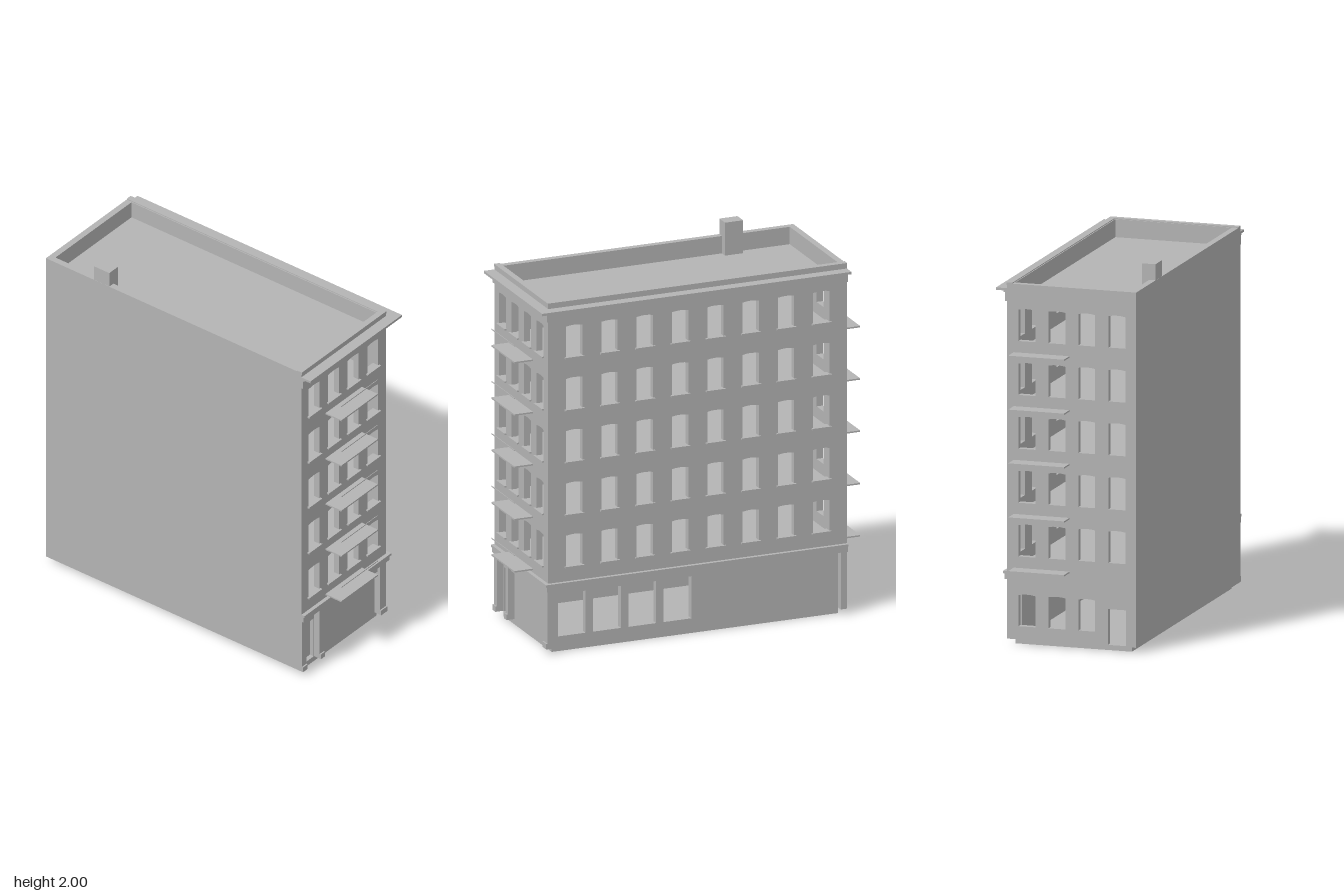
import * as THREE from 'three';

const stone = new THREE.MeshStandardMaterial({ color: 0xb4b4b4 });
stone.name = 'stone';

// Overall plan: outer faces and inner faces of the walls
const X0 = -0.385, X1 = 0.322, Z0 = -0.85, Z1 = 0.835, T = 0.035;
const IX0 = X0 + T, IX1 = X1 - T, IZ0 = Z0 + T, IZ1 = Z1 - T;
const ROOF = 1.82, TOP = 1.915, BASE = 0.03, BAND = 0.345;
const LEVELS = [0.405, 0.69, 0.977, 1.262, 1.548];
const COLS = [-0.28, -0.115, 0.049, 0.213];
const SIDE_COLS = Array.from({ length: 8 }, (_, i) => 0.688 - i * 0.199);
const SILL = 0.065, WIN_H = 0.172, WIN_W = 0.092;

export function createModel() {
  const model = new THREE.Group();
  model.name = 'apartmentBuilding';

  function box(name, x0, x1, y0, y1, z0, z1) {
    const mesh = new THREE.Mesh(new THREE.BoxGeometry(x1 - x0, y1 - y0, z1 - z0), stone);
    mesh.position.set((x0 + x1) / 2, (y0 + y1) / 2, (z0 + z1) / 2);
    mesh.name = name;
    model.add(mesh);
    return mesh;
  }

  // Opening with an optional shallow arched head
  function opening(u, w, y0, y1, rise = 0) {
    const p = new THREE.Path();
    p.moveTo(u - w / 2, y0);
    p.lineTo(u - w / 2, y1 - rise);
    if (rise) p.quadraticCurveTo(u, y1 + rise, u + w / 2, y1 - rise);
    else p.lineTo(u + w / 2, y1);
    p.lineTo(u + w / 2, y0);
    p.closePath();
    return p;
  }

  // Wall slab with real openings, extruded along its thickness
  function wall(name, u0, u1, y0, y1, holes) {
    const s = new THREE.Shape();
    s.moveTo(u0, y0);
    s.lineTo(u1, y0);
    s.lineTo(u1, y1);
    s.lineTo(u0, y1);
    s.closePath();
    s.holes.push(...holes);
    const geo = new THREE.ExtrudeGeometry(s, { depth: T, bevelEnabled: false, curveSegments: 4 });
    const mesh = new THREE.Mesh(geo, stone);
    mesh.name = name;
    model.add(mesh);
    return mesh;
  }

  const windowGrid = (cols) => LEVELS.flatMap((y) =>
    cols.map((u) => opening(u, WIN_W, y + SILL, y + SILL + WIN_H, 0.005)));

  // Upper walls
  wall('frontWall', X0, X1, BAND, TOP, windowGrid(COLS)).position.z = IZ1;
  const side = wall('sideWall', -IZ1, -IZ0, BAND, TOP, windowGrid(SIDE_COLS.map((z) => -z)));
  side.rotation.y = Math.PI / 2;
  side.position.x = IX1;

  // Full-height back wall with ground-floor windows and a door
  wall('backWall', X0, X1, BASE, TOP, [
    ...windowGrid(COLS),
    ...COLS.slice(1).map((u) => opening(u, WIN_W, 0.1, 0.27, 0.005)),
    opening(COLS[0], 0.1, 0.035, 0.225),
  ]).position.z = Z0;
  box('partyWall', X0, IX0, BASE, TOP, IZ0, IZ1);

  // Recessed ground-floor side wall with four shop windows
  const shopSide = wall('shopSideWall', -IZ1, -IZ0, 0, BAND,
    [0, 1, 2, 3].map((i) => opening(-0.688 + i * 0.199, 0.157, 0.08, 0.31)));
  shopSide.rotation.y = Math.PI / 2;
  shopSide.position.x = IX1 - T;

  // Recessed ground-floor front with a door and shop panel
  wall('shopFrontWall', IX0, IX1, 0, BAND, [opening(-0.29, 0.106, BASE, 0.27)]).position.z = IZ1 - T;
  box('frontDoor', -0.343, -0.237, BASE, 0.27, IZ1 - T, IZ1 - 0.025);
  box('shopSign', -0.2, 0.27, 0.295, BAND, IZ1, 0.82);

  // Ground-floor pillars with small plinths
  for (const [a, b] of [[X0, -0.347], [-0.235, -0.2], [0.27, X1]]) {
    box('frontPillar', a, b, BASE, 0.355, IZ1, 0.838);
    box('pillarPlinth', a, b, BASE, 0.06, IZ1, 0.846);
  }
  box('cornerPillar', IX1, X1, BASE, BAND, IZ1 - 0.002, IZ1);

  // Base, floors and roof
  box('baseSlab', IX0, IX1, 0, BASE, IZ0, IZ1);
  for (const y of LEVELS) box('floorSlab', IX0, IX1, y - 0.02, y, IZ0, IZ1);
  box('roofDeck', IX0, IX1, ROOF - 0.015, ROOF, IZ0, IZ1);

  // Mouldings wrapping the front and the street side
  function moulding(name, y0, y1, out) {
    box(name, X0, X1 + out, y0, y1, IZ1 + 0.005, Z1 + out);
    box(name + 'Side', IX1 + 0.005, X1 + out, y0, y1, Z0, IZ1 + 0.005);
  }
  moulding('shopBand', BAND, 0.375, 0.013);
  moulding('shopBandCap', 0.375, 0.388, 0.021);
  moulding('frieze', 1.82, 1.868, 0.011);
  moulding('corniceSlab', 1.876, 1.889, 0.06);
  moulding('corniceBed', 1.868, 1.876, 0.02);
  moulding('parapetCap', 1.905, 1.92, 0.003);

  // Window sills on the front and the street side
  for (const y of LEVELS) {
    const s = y + SILL;
    for (const x of COLS) box('frontSill', x - 0.055, x + 0.055, s - 0.008, s, IZ1 + 0.01, Z1 + 0.013);
    for (const z of SIDE_COLS) box('sideSill', IX1 + 0.01, X1 + 0.013, s - 0.008, s, z - 0.055, z + 0.055);
  }

  // Balcony plates front and back, with a thin rail at the front
  for (const y of LEVELS) {
    box('frontBalcony', -0.182, 0.122, y - 0.004, y + 0.004, IZ1, 0.94);
    box('frontRail', -0.182, 0.122, y + 0.088, y + 0.093, 0.937, 0.94);
    box('backBalcony', -0.02, 0.285, y - 0.004, y + 0.004, -0.94, IZ0);
  }

  box('chimney', X0 + 0.001, -0.31, ROOF, 2, -0.535, -0.433);
  return model;
}
